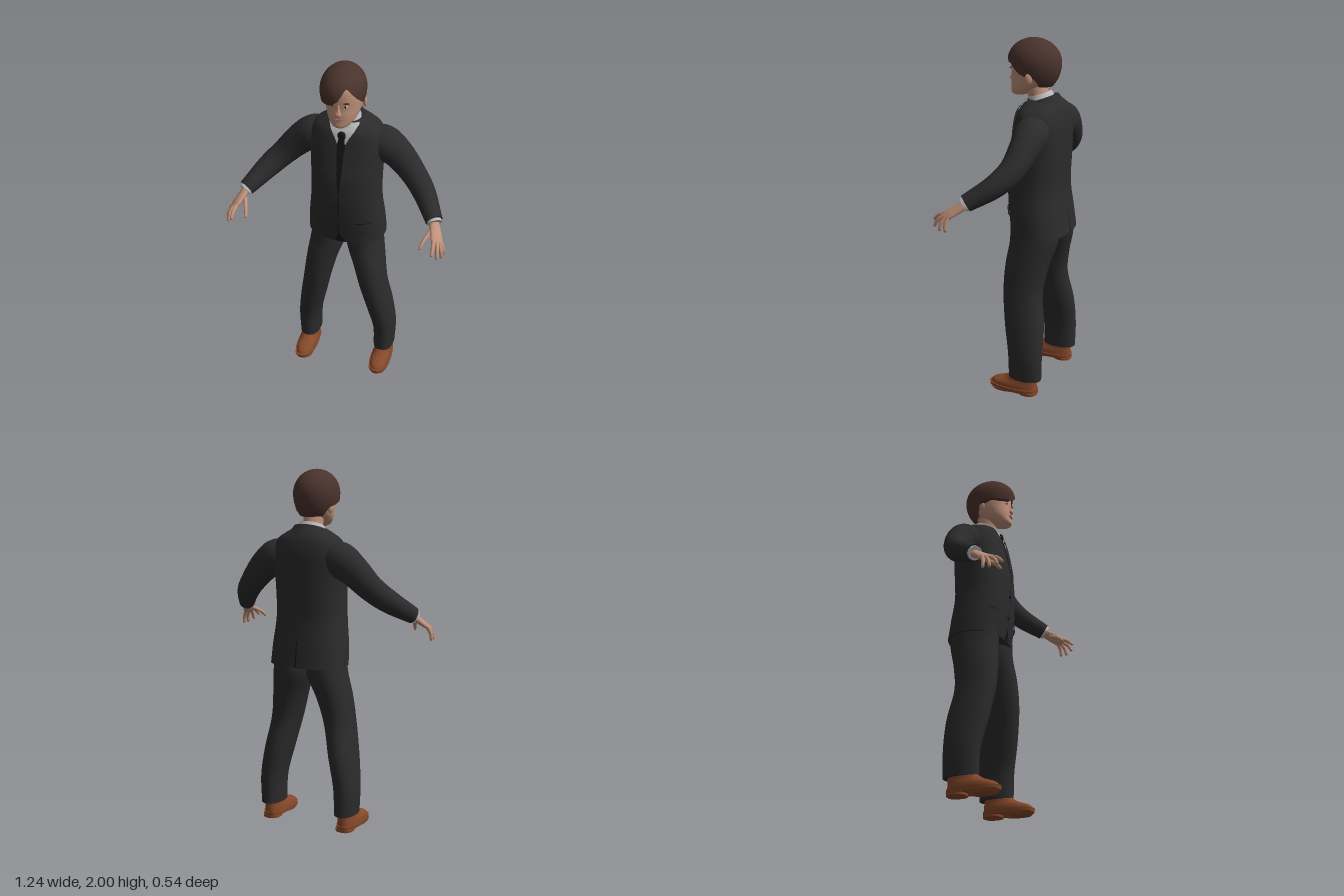
import * as THREE from 'three';
import { toCreasedNormals } from 'three/addons/utils/BufferGeometryUtils.js';

const mat = (name, color) => {
  const m = new THREE.MeshStandardMaterial({ color, side: THREE.DoubleSide });
  m.name = name;
  return m;
};
const V = (x, y, z) => new THREE.Vector3(x, y, z);

// Smooth interpolation through sections [x, y, z, halfWidth, halfDepth]
function sampler(sections) {
  const path = new THREE.CatmullRomCurve3(sections.map(s => V(s[0], s[1], s[2])), false, 'catmullrom');
  const size = new THREE.CatmullRomCurve3(sections.map(s => V(s[3], s[4], 0)), false, 'catmullrom');
  return t => ({ c: path.getPoint(t), r: size.getPoint(t), d: path.getTangent(t) });
}

// Closed skin over rounded cross-sections; level keeps the sections horizontal
function loft(sections, { n = 2, ref = V(1, 0, 0), level = false, dir = null, seg = 28, per = 5 } = {}) {
  const at = sampler(sections), steps = (sections.length - 1) * per;
  const pos = [], idx = [];
  for (let k = -1; k <= steps + 1; k++) {
    const { c, r, d } = at(Math.min(1, Math.max(0, k / steps)));
    const axis = level ? V(0, 1, 0) : dir || d;
    const w = ref.clone().addScaledVector(axis, -ref.dot(axis)).normalize();
    const h = axis.clone().cross(w);
    const open = k < 0 || k > steps ? 0 : 1;
    for (let j = 0; j < seg; j++) {
      const a = j / seg * Math.PI * 2;
      const ca = Math.cos(a), sa = Math.sin(a);
      const p = c.clone()
        .addScaledVector(w, Math.sign(ca) * Math.abs(ca) ** (2 / n) * r.x * open)
        .addScaledVector(h, Math.sign(sa) * Math.abs(sa) ** (2 / n) * r.y * open);
      pos.push(p.x, p.y, p.z);
    }
  }
  return skin(pos, idx, steps + 3, seg, true);
}

// Joins rows of points into a smooth surface with sharp creases
function skin(pos, idx, rows, cols, wrap) {
  for (let i = 0; i < rows - 1; i++) for (let j = 0; j < (wrap ? cols : cols - 1); j++) {
    const a = i * cols + j, b = i * cols + (j + 1) % cols;
    idx.push(a, b, b + cols, a, b + cols, a + cols);
  }
  const g = new THREE.BufferGeometry();
  g.setAttribute('position', new THREE.Float32BufferAttribute(pos, 3));
  g.setIndex(idx);
  return toCreasedNormals(g, 0.9);
}

export function createModel() {
  const suit = mat('suit cloth', 0x2b2b2c), dark = mat('black', 0x151517), shirt = mat('shirt', 0xb9b9bb);
  const flesh = mat('skin', 0xc0917a), lip = mat('lips', 0xa06a5c);
  const hairMat = mat('brown hair', 0x4a332d), leather = mat('brown leather', 0x86492a);
  const model = new THREE.Group();
  const add = (name, geo, m) => {
    const mesh = new THREE.Mesh(geo, m);
    mesh.name = name;
    model.add(mesh);
    return mesh;
  };
  const ball = (name, m, x, y, z, rx, ry, rz) => {
    const mesh = add(name, new THREE.SphereGeometry(1, 20, 14), m);
    mesh.position.set(x, y, z);
    mesh.scale.set(rx, ry, rz);
    return mesh;
  };

  // Jacket body
  const body = [
    [0, 0.935, -0.11, 0.222, 0.16], [0, 1.05, -0.095, 0.215, 0.16], [0, 1.2, -0.08, 0.198, 0.158],
    [0, 1.35, -0.085, 0.198, 0.158], [0, 1.45, -0.096, 0.203, 0.149], [0, 1.55, -0.106, 0.208, 0.137],
    [0, 1.62, -0.108, 0.185, 0.121], [0, 1.655, -0.11, 0.138, 0.103], [0, 1.68, -0.11, 0.092, 0.085]];
  const N = 2.4, bodyAt = sampler(body);
  add('jacketBody', loft(body, { n: N, level: true, seg: 48 }), suit);

  // Depth of the jacket surface at x, y
  const surface = (x, y, face) => {
    let lo = 0, hi = 1;
    for (let i = 0; i < 24; i++) {
      const mid = (lo + hi) / 2;
      if (bodyAt(mid).c.y < y) lo = mid; else hi = mid;
    }
    const { c, r } = bodyAt(lo);
    return c.z + face * r.y * Math.max(0, 1 - Math.min(1, Math.abs(x) / r.x) ** N) ** (1 / N);
  };
  // Thin plate lying on the jacket; rows are [y, x from, x to], going up
  const plate = (name, rows, lift, m, face = 1) => {
    const pos = [], cols = 9, per = 6, count = (rows.length - 1) * per + 1;
    for (let i = 0; i < count; i++) {
      const k = Math.min(rows.length - 2, Math.floor(i / per)), f = i / per - k;
      const [y, a, b] = rows[k].map((v, q) => v + (rows[k + 1][q] - v) * f);
      for (let j = 0; j < cols; j++) {
        const x = (Math.min(a, b) + Math.abs(b - a) * j / (cols - 1)) * face;
        pos.push(x, y, surface(x, y, face) + lift * face);
      }
    }
    add(name, skin(pos, [], count, cols, false), m);
  };

  // Shirt, tie and closing edge
  plate('shirtFront', [[1.54, -0.01, 0.01], [1.6, -0.04, 0.04], [1.64, -0.066, 0.066], [1.676, -0.08, 0.08]], 0.004, shirt);
  plate('tie', [[1.27, -0.008, 0.008], [1.45, -0.027, 0.027], [1.54, -0.026, 0.026], [1.6, -0.016, 0.016]], 0.007, dark);
  ball('tieKnot', dark, 0, 1.613, surface(0, 1.613, 1) + 0.004, 0.024, 0.024, 0.014);
  plate('frontEdge', [[1.0, -0.008, -0.004], [1.27, -0.004, 0]], 0.003, dark);
  plate('frontCutaway', [[0.937, -0.03, 0.03], [1.0, -0.008, -0.004]], 0.003, dark);
  plate('backVent', [[0.937, -0.005, 0.005], [1.08, -0.002, 0.002]], 0.003, dark, -1);
  for (const y of [1.07, 1.2]) ball('button', dark, -0.012, y, surface(0, y, 1) + 0.002, 0.009, 0.009, 0.005);

  // Collars tilt down toward the front
  const tilt = V(0, 1, 0.35).normalize();
  add('jacketCollar', loft([[0, 1.635, -0.115, 0.125, 0.1], [0, 1.683, -0.1, 0.09, 0.084]], { dir: tilt }), suit);
  add('shirtCollar', loft([[0, 1.65, -0.093, 0.088, 0.084], [0, 1.702, -0.078, 0.066, 0.067]], { dir: tilt }), shirt);
  add('neck', loft([[0, 1.63, -0.085, 0.058, 0.06], [0, 1.7, -0.07, 0.055, 0.058], [0, 1.77, -0.05, 0.056, 0.062]], { level: true }), flesh);

  for (const s of [1, -1]) {
    const m = list => list.map(p => [s * p[0], ...p.slice(1)]);
    const rows = list => list.map(([y, a, b]) => [y, s * a, s * b]);
    plate('lapel', rows([[1.26, 0, 0.01], [1.4, 0.014, 0.05], [1.54, 0.02, 0.1], [1.6, 0.046, 0.118], [1.65, 0.076, 0.108]]), 0.011, suit);
    plate('collarWing', rows([[1.6, 0.026, 0.034], [1.64, 0.016, 0.064], [1.672, 0.03, 0.084]]), 0.009, shirt);
    plate('pocketFlap', rows([[1.045, 0.09, 0.18], [1.078, 0.088, 0.178]]), 0.009, suit);
    plate('pocketSeam', rows([[1.078, 0.088, 0.178], [1.083, 0.088, 0.178]]), 0.004, dark);

    // Sleeve and cuff
    add('sleeve', loft(m([[0.13, 1.545, -0.12, 0.08, 0.08], [0.2, 1.52, -0.125, 0.095, 0.098], [0.28, 1.465, -0.122, 0.08, 0.086],
      [0.37, 1.375, -0.098, 0.068, 0.072], [0.45, 1.3, -0.035, 0.06, 0.064], [0.535, 1.218, 0.085, 0.048, 0.046]]), { ref: V(0, 0, 1) }), suit);
    add('cuff', loft(m([[0.525, 1.228, 0.07, 0.041, 0.04], [0.542, 1.21, 0.096, 0.04, 0.038]]), { ref: V(0, 0, 1) }), shirt);

    // Hand
    add('palm', loft(m([[0.53, 1.22, 0.075, 0.027, 0.023], [0.55, 1.19, 0.118, 0.033, 0.019], [0.572, 1.156, 0.17, 0.037, 0.014],
      [0.58, 1.143, 0.19, 0.026, 0.007]]), { ref: V(0.04 * s, -0.02, -0.03) }), flesh);
    const fingers = {
      thumb: [[0.53, 1.178, 0.128], [0.506, 1.15, 0.185], [0.492, 1.115, 0.225]],
      indexFinger: [[0.558, 1.163, 0.185], [0.564, 1.143, 0.228], [0.565, 1.112, 0.262]],
      middleFinger: [[0.573, 1.156, 0.18], [0.587, 1.125, 0.222], [0.592, 1.085, 0.245]],
      ringFinger: [[0.584, 1.15, 0.172], [0.602, 1.115, 0.195], [0.609, 1.07, 0.205]],
      littleFinger: [[0.592, 1.145, 0.16], [0.608, 1.11, 0.168], [0.613, 1.07, 0.168]]
    };
    for (const [name, [a, b, c]] of Object.entries(fingers)) {
      const mid = b.map((v, i) => v + (c[i] - v) * 0.85);
      add(name, loft(m([[...a, 0.012, 0.012], [...b, 0.0105, 0.0105], [...mid, 0.008, 0.008], [...c, 0.003, 0.003]]),
        { ref: V(1, 0, 0.2), seg: 12, per: 4 }), flesh);
    }

    // Trouser leg
    add('trouserLeg', loft(m([[0.237, 0.095, -0.107, 0.06, 0.098], [0.236, 0.25, -0.106, 0.066, 0.102], [0.207, 0.42, -0.088, 0.074, 0.117],
      [0.17, 0.6, -0.062, 0.08, 0.116], [0.14, 0.75, -0.072, 0.091, 0.126], [0.107, 0.88, -0.096, 0.104, 0.137],
      [0.1, 0.98, -0.1, 0.1, 0.14]]), { n: 2.2, level: true }), suit);

    // Shoe: upper, sole and heel
    const shoe = { n: 2.4, level: true, seg: 32 };
    add('shoeUpper', loft(m([[0.238, 0.03, -0.035, 0.056, 0.144], [0.238, 0.055, -0.045, 0.054, 0.133],
      [0.238, 0.08, -0.078, 0.047, 0.099], [0.238, 0.12, -0.105, 0.043, 0.072]]), shoe), leather);
    add('shoeSole', loft(m([[0.238, 0.012, -0.035, 0.06, 0.146], [0.238, 0.034, -0.035, 0.062, 0.15]]), shoe), leather);
    add('shoeHeel', loft(m([[0.238, 0, -0.127, 0.05, 0.055], [0.238, 0.016, -0.127, 0.051, 0.056]]), shoe), leather);
    add('shoeBall', loft(m([[0.238, 0, 0.02, 0.052, 0.075], [0.238, 0.016, 0.02, 0.058, 0.09]]), shoe), leather);

    // Eye, brow and ear
    ball('eyeWhite', shirt, s * 0.037, 1.82, 0.069, 0.014, 0.0065, 0.006);
    ball('iris', dark, s * 0.036, 1.82, 0.072, 0.006, 0.006, 0.005);
    ball('eyebrow', hairMat, s * 0.038, 1.839, 0.071, 0.021, 0.0045, 0.007).rotation.z = s * 0.08;
    ball('ear', flesh, s * 0.103, 1.797, -0.06, 0.011, 0.031, 0.02).rotation.y = s * 0.35;
  }

  // Head and face
  add('head', loft([[0, 1.687, 0.045, 0.02, 0.026], [0, 1.7, 0.033, 0.047, 0.052], [0, 1.73, 0.006, 0.074, 0.077],
    [0, 1.765, -0.022, 0.089, 0.105], [0, 1.8, -0.036, 0.097, 0.115], [0, 1.85, -0.04, 0.101, 0.119],
    [0, 1.9, -0.045, 0.097, 0.117], [0, 1.95, -0.05, 0.07, 0.09], [0, 1.975, -0.05, 0.03, 0.04]], { level: true, n: 2.1 }), flesh);
  add('nose', loft([[0, 1.762, 0.08, 0.008, 0.008], [0, 1.773, 0.084, 0.016, 0.015], [0, 1.795, 0.079, 0.01, 0.013],
    [0, 1.83, 0.071, 0.008, 0.01]], { level: true, seg: 16 }), flesh);
  ball('upperLip', lip, 0, 1.745, 0.081, 0.025, 0.004, 0.007);
  ball('lowerLip', lip, 0, 1.738, 0.081, 0.02, 0.005, 0.007);

  // Hair: a cap cut by a side-swept hairline, [angle from the front, height]
  const hairline = [[-180, 1.745], [-125, 1.75], [-108, 1.8], [-88, 1.81], [-70, 1.828], [-45, 1.822], [-15, 1.832], [5, 1.86],
    [20, 1.91], [28, 1.93], [36, 1.91], [55, 1.86], [75, 1.82], [90, 1.805], [108, 1.8], [125, 1.75], [180, 1.745]];
  const edge = deg => {
    const k = Math.max(1, hairline.findIndex(h => h[0] >= deg));
    const [a, b] = [hairline[k - 1], hairline[k]];
    return THREE.MathUtils.lerp(a[1], b[1], (deg - a[0]) / (b[0] - a[0]));
  };
  const pos = [], cols = 72, rings = 22;
  for (let i = 0; i <= rings + 1; i++) for (let j = 0; j < cols; j++) {
    const deg = -180 + j / cols * 360, a = deg * Math.PI / 180;
    const drop = edge(deg) - 1.87;
    const end = Math.acos(drop / (drop > 0 ? 0.13 : 0.17));
    const inner = i > rings;
    // bottom ring tucks inward to give the hair thickness
    const phi = end * (inner ? 1 : 1 - (rings - i) / rings);
    const r = Math.sin(phi) * (inner ? 0.8 : 1), c = Math.cos(phi);
    pos.push(-0.009 + 0.121 * r * Math.sin(a), 1.87 + c * (c > 0 ? 0.13 : 0.17), -0.043 + 0.152 * r * Math.cos(a));
  }
  // rows run downward, so reverse them to face outward
  const up = [];
  for (let i = rings + 1; i >= 0; i--) up.push(...pos.slice(i * cols * 3, (i + 1) * cols * 3));
  add('hair', skin(up, [], rings + 2, cols, true), hairMat);

  return model;
}
